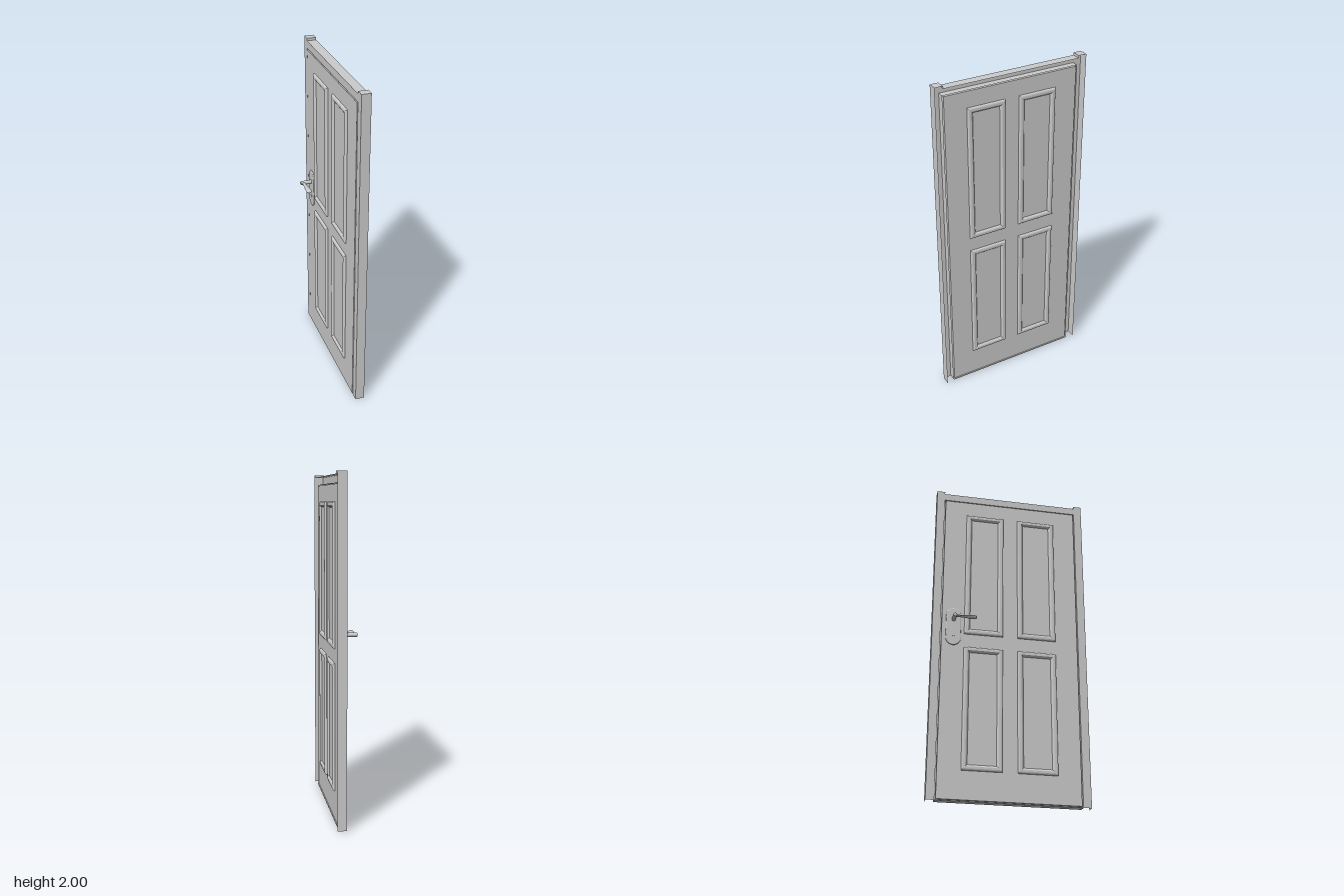
import * as THREE from 'three';
import { mergeGeometries } from 'three/addons/utils/BufferGeometryUtils.js';

const solid = new THREE.MeshStandardMaterial({ color: 0xcccccc });
const sheet = new THREE.MeshStandardMaterial({ color: 0xcccccc, side: THREE.DoubleSide });

const BACK = 0.01, FRONT = 0.065;      // frame depth along x
const INNER = 0.422, OUTER = 0.471;    // frame opening and outer edge along z
const DOOR0 = 0.008, DOOR1 = 0.05;     // door leaf faces along x

function add(parent, name, geometry, material = solid) {
  const mesh = new THREE.Mesh(geometry, material);
  mesh.name = name;
  parent.add(mesh);
  return mesh;
}

// Flat rectangle between two corners; the axis with equal values is its normal
function plate([x0, y0, z0], [x1, y1, z1]) {
  const dx = x1 - x0, dy = y1 - y0, dz = z1 - z0;
  let g;
  if (dx === 0) g = new THREE.PlaneGeometry(dz, dy).rotateY(-Math.PI / 2);
  else if (dy === 0) g = new THREE.PlaneGeometry(dx, dz).rotateX(-Math.PI / 2);
  else g = new THREE.PlaneGeometry(dx, dy);
  return g.translate((x0 + x1) / 2, (y0 + y1) / 2, (z0 + z1) / 2);
}

// Rectangular moulding with a flat field: nested loops of [inset, height]
function panelGeometry(width, height, profile) {
  const loops = profile.map(([inset, rise]) => {
    const w = width / 2 - inset, h = height / 2 - inset;
    return [[-w, -h, rise], [w, -h, rise], [w, h, rise], [-w, h, rise]];
  });
  const points = [];
  const quad = (a, b, c, d) => points.push(...a, ...b, ...c, ...a, ...c, ...d);
  for (let i = 0; i < loops.length - 1; i++) {
    for (let k = 0; k < 4; k++) {
      const n = (k + 1) % 4;
      quad(loops[i][k], loops[i][n], loops[i + 1][n], loops[i + 1][k]);
    }
  }
  quad(...loops[loops.length - 1]);
  const g = new THREE.BufferGeometry();
  g.setAttribute('position', new THREE.Float32BufferAttribute(points, 3));
  g.computeVertexNormals();
  return g;
}

// Hollow frame, open towards +x
function makeFrame() {
  const frame = new THREE.Group();
  frame.name = 'doorFrame';
  for (const s of [1, -1]) {
    const z0 = Math.min(s * INNER, s * OUTER), z1 = Math.max(s * INNER, s * OUTER);
    add(frame, s > 0 ? 'frontJamb' : 'rearJamb', mergeGeometries([
      plate([BACK, 0, z0], [BACK, 2, z1]),
      plate([BACK, 0, s * OUTER], [FRONT, 2, s * OUTER]),
      plate([BACK, 0, s * INNER], [DOOR1, 1.94, s * INNER]),
      plate([BACK, 2, z0], [FRONT, 2, z1]),
      plate([BACK, 1.985, s * INNER], [FRONT, 2, s * INNER]),
    ]), sheet);
  }
  add(frame, 'header', mergeGeometries([
    plate([BACK, 1.94, -INNER], [BACK, 1.985, INNER]),
    plate([BACK, 1.985, -INNER], [FRONT, 1.985, INNER]),
    plate([BACK, 1.94, -INNER], [DOOR1, 1.94, INNER]),
  ]), sheet);
  add(frame, 'threshold', new THREE.BoxGeometry(0.045, 0.005, 2 * INNER)
    .translate(BACK + 0.0225, 0.0025, 0));
  return frame;
}

// Leaf with four moulded panels on each face
function makeLeaf() {
  const leaf = new THREE.Group();
  leaf.name = 'doorLeaf';
  add(leaf, 'slab', new THREE.BoxGeometry(DOOR1 - DOOR0, 1.926, 0.83)
    .translate((DOOR0 + DOOR1) / 2, 0.971, 0));
  const profile = [[0, 0], [0.001, 0.006], [0.004, 0.01], [0.01, 0.012],
    [0.022, 0.012], [0.028, 0.008], [0.034, 0.002]];
  for (const [y0, y1] of [[0.175, 0.927], [1.012, 1.838]]) {
    const geometry = panelGeometry(0.235, y1 - y0, profile);
    for (const z of [0.162, -0.162]) {
      for (const s of [1, -1]) {
        const panel = add(leaf, 'panel', geometry);
        panel.rotation.y = s * Math.PI / 2;
        panel.position.set(s > 0 ? DOOR1 : DOOR0, (y0 + y1) / 2, z);
      }
    }
  }
  return leaf;
}

// Lever handle on a rounded back plate
function makeHandle() {
  const handle = new THREE.Group();
  handle.name = 'handle';
  handle.position.set(DOOR0, 1.1, -0.345);

  const r = 0.039, top = 0.03, bottom = -0.12;
  const outline = new THREE.Shape();
  outline.absarc(0, top, r, 0, Math.PI);
  outline.absarc(0, bottom, r, Math.PI, 2 * Math.PI);
  outline.closePath();
  const backPlate = new THREE.ExtrudeGeometry(outline, {
    depth: 0.003, bevelThickness: 0.004, bevelSize: 0.006, bevelSegments: 3, curveSegments: 16,
  });
  add(handle, 'backPlate', backPlate.rotateY(-Math.PI / 2));

  const lathe = (pts, n) => new THREE.LatheGeometry(pts.map(p => new THREE.Vector2(...p)), n);
  add(handle, 'spindle', lathe([[0.012, 0], [0.012, 0.072], [0.0112, 0.0745],
    [0.009, 0.076], [0, 0.076]], 24).rotateZ(Math.PI / 2));

  // Grip widens towards its rounded end and is flattened vertically
  const grip = lathe([[0.010, 0], [0.010, 0.03], [0.012, 0.06], [0.0155, 0.09], [0.0175, 0.108],
    [0.0175, 0.118], [0.015, 0.126], [0.010, 0.131], [0, 0.132]], 24);
  grip.rotateX(Math.PI / 2).scale(1, 0.6, 1).translate(-0.058, 0, 0);
  add(handle, 'leverGrip', grip);

  // Keyhole cover below the lever
  add(handle, 'keyhole', new THREE.CylinderGeometry(0.011, 0.011, 0.003, 20)
    .rotateZ(Math.PI / 2).translate(-0.008, -0.1, 0));
  return handle;
}

export function createModel() {
  const model = new THREE.Group();
  model.name = 'door';
  model.add(makeFrame(), makeLeaf(), makeHandle());
  return model;
}
